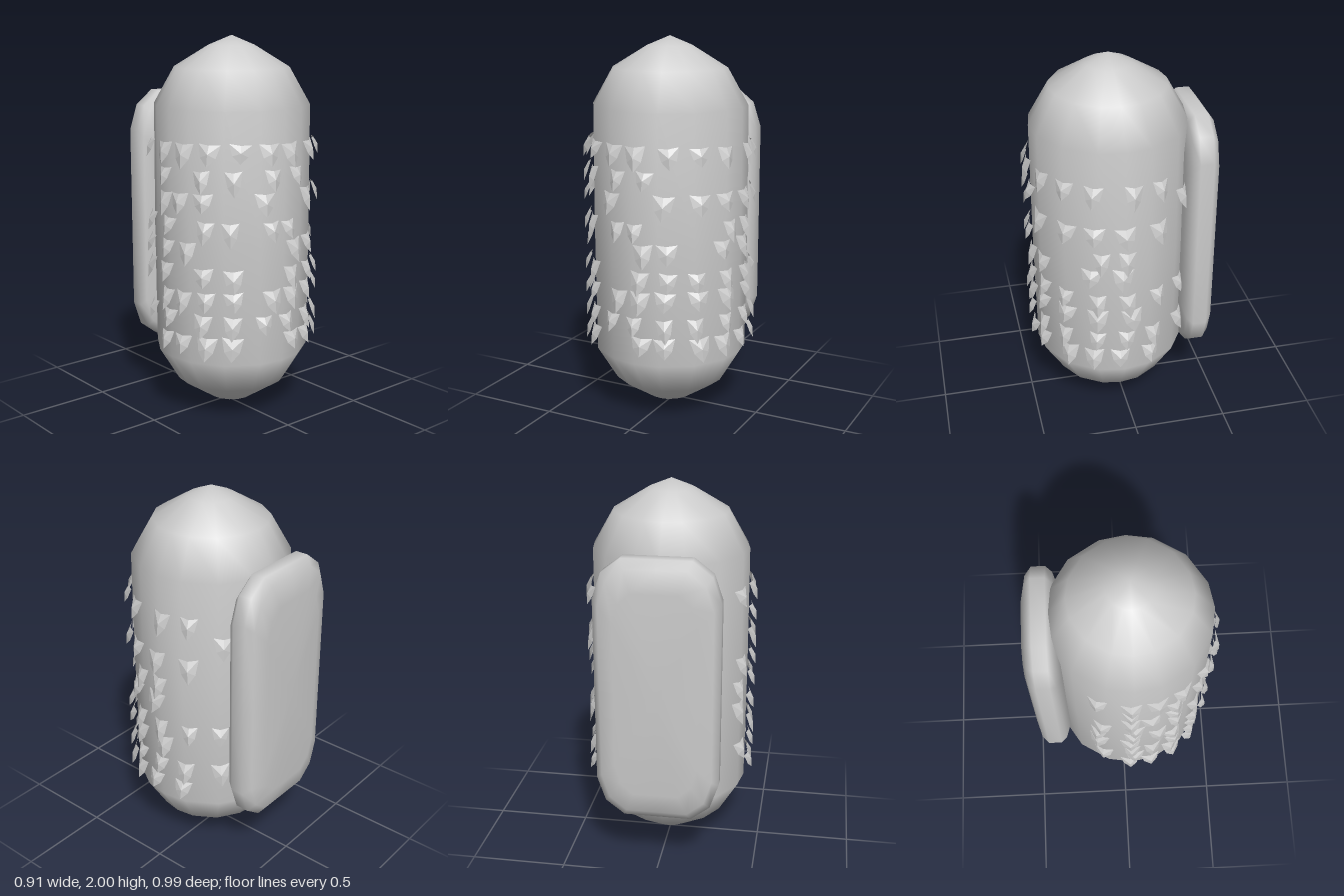
import * as THREE from 'three';
import { mergeVertices } from 'three/addons/utils/BufferGeometryUtils.js';

const CENTRE_Z = 0.04;
const grey = new THREE.MeshStandardMaterial({ color: 0xcccccc });
const greyFlat = new THREE.MeshStandardMaterial({ color: 0xcccccc, flatShading: true, side: THREE.DoubleSide });

// Capsule body: a 16-sided lathe whose sides are unevenly spaced, four per quarter
function makeBody() {
  const profile = [[0, 0.005], [0.12, 0.05], [0.30, 0.17], [0.408, 0.35], [0.412, 1],
    [0.408, 1.65], [0.30, 1.84], [0.12, 1.95], [0, 2]];
  let geo = new THREE.LatheGeometry(profile.map(([r, y]) => new THREE.Vector2(r, y)), 16);
  geo.deleteAttribute('uv');
  geo.deleteAttribute('normal');
  const steps = [0, 19, 45, 71];
  const pos = geo.attributes.position;
  for (let i = 0; i < pos.count; i++) {
    const x = pos.getX(i), z = pos.getZ(i), r = Math.hypot(x, z);
    const k = (Math.round(Math.atan2(x, z) / (Math.PI / 8)) + 16) % 16;
    const a = THREE.MathUtils.degToRad(Math.floor(k / 4) * 90 + steps[k % 4]);
    pos.setXYZ(i, r * Math.sin(a), pos.getY(i), r * Math.cos(a) + CENTRE_Z);
  }
  geo = mergeVertices(geo, 1e-4);
  geo.computeVertexNormals();
  return new THREE.Mesh(geo, grey);
}

// Backpack: rounded outlines stacked from the inner face to the outer face
function makeBackpack() {
  const quarter = [[1, 0], [1, 0.7], [0.86, 0.89], [0.55, 1], [0, 1]];
  const outline = [
    ...quarter.slice(0, 4),
    ...quarter.slice(1).reverse().map(([x, y]) => [-x, y]),
    ...quarter.slice(0, 4).map(([x, y]) => [-x, -y]),
    ...quarter.slice(1).reverse().map(([x, y]) => [x, -y]),
  ];
  // half width, half height, z
  const rings = [[0, 0, -0.3], [0.24, 0.56, -0.305], [0.3, 0.655, -0.33], [0.318, 0.695, -0.36],
    [0.318, 0.695, -0.43], [0.285, 0.65, -0.465], [0.21, 0.54, -0.49], [0, 0, -0.49]];
  const n = outline.length, points = [], index = [];
  rings.forEach(([w, h, z], j) => {
    outline.forEach(([x, y], i) => {
      points.push(x * w, 1.005 + y * h, z);
      if (j === 0) return;
      const a = (j - 1) * n + i, b = (j - 1) * n + (i + 1) % n;
      if (j > 1) index.push(a, a + n, b);
      if (j < rings.length - 1) index.push(b, a + n, b + n);
    });
  });
  let geo = new THREE.BufferGeometry();
  geo.setAttribute('position', new THREE.Float32BufferAttribute(points, 3));
  geo.setIndex(index);
  geo = mergeVertices(geo, 1e-4);
  geo.computeVertexNormals();
  return new THREE.Mesh(geo, grey);
}

// Small shield-shaped scale, hinged at its top edge and bowed outwards
function makeScaleGeometry() {
  const rim = [[0.052, 0, 0], [0, -0.006, 0.012], [-0.052, 0, 0], [-0.036, -0.068, 0.016],
    [0, -0.112, 0.03], [0.036, -0.068, 0.016]];
  const points = [0, -0.05, 0.032, ...rim.flat()];
  const index = rim.flatMap((_, i) => [0, 1 + i, 1 + (i + 1) % rim.length]);
  const geo = new THREE.BufferGeometry();
  geo.setAttribute('position', new THREE.Float32BufferAttribute(points, 3));
  geo.setIndex(index);
  geo.computeVertexNormals();
  return geo;
}

// Rows of scales: top height, then angles in degrees from the front towards the left
const scaleRows = [
  [1.48, [-115, -92, -74, -55, -34, -14, 3, 26, 47, 68, 95, 115]],
  [1.37, [-92, -61, -39, -11, 10, 138]],
  [1.235, [-92, -78, -60, -17, 23, 48, 68, 89, 114]],
  [1.11, [-112, -88, -58, -41, -12, 2, 73, 91]],
  [0.99, [-115, -90, -72, 8, 25, 66, 88]],
  [0.855, [-115, -92, -60, -39, 6, 26, 46, 70, 91, 114, 136]],
  [0.74, [-90, -75, -58, -39, -11, 6, 24, 47, 70, 94]],
  [0.62, [-112, -88, -60, -39, -17, 1, 23, 45, 70, 91, 111, 136]],
  [0.495, [-92, -76, -57, -39, 7, 23, 48, 67, 86, 109]],
];

function makeScales() {
  const group = new THREE.Group();
  const geo = makeScaleGeometry();
  let count = 0;
  for (const [y, angles] of scaleRows) {
    for (const degrees of angles) {
      const a = THREE.MathUtils.degToRad(degrees);
      const vary = Math.sin(++count * 12.9);
      const scale = new THREE.Mesh(geo, greyFlat);
      scale.name = 'scale';
      scale.position.set(0.416 * Math.sin(a), y + 0.012 * vary, 0.416 * Math.cos(a) + CENTRE_Z);
      scale.rotation.set(-0.08, a, 0.08 * Math.sin(count * 7.3), 'YXZ');
      scale.scale.set(0.98 + 0.12 * vary, 1 + 0.15 * Math.sin(count * 4.7), 1);
      group.add(scale);
    }
  }
  return group;
}

export function createModel() {
  const model = new THREE.Group();
  const parts = { body: makeBody(), backpack: makeBackpack(), scales: makeScales() };
  for (const [name, part] of Object.entries(parts)) {
    part.name = name;
    model.add(part);
  }
  return model;
}
